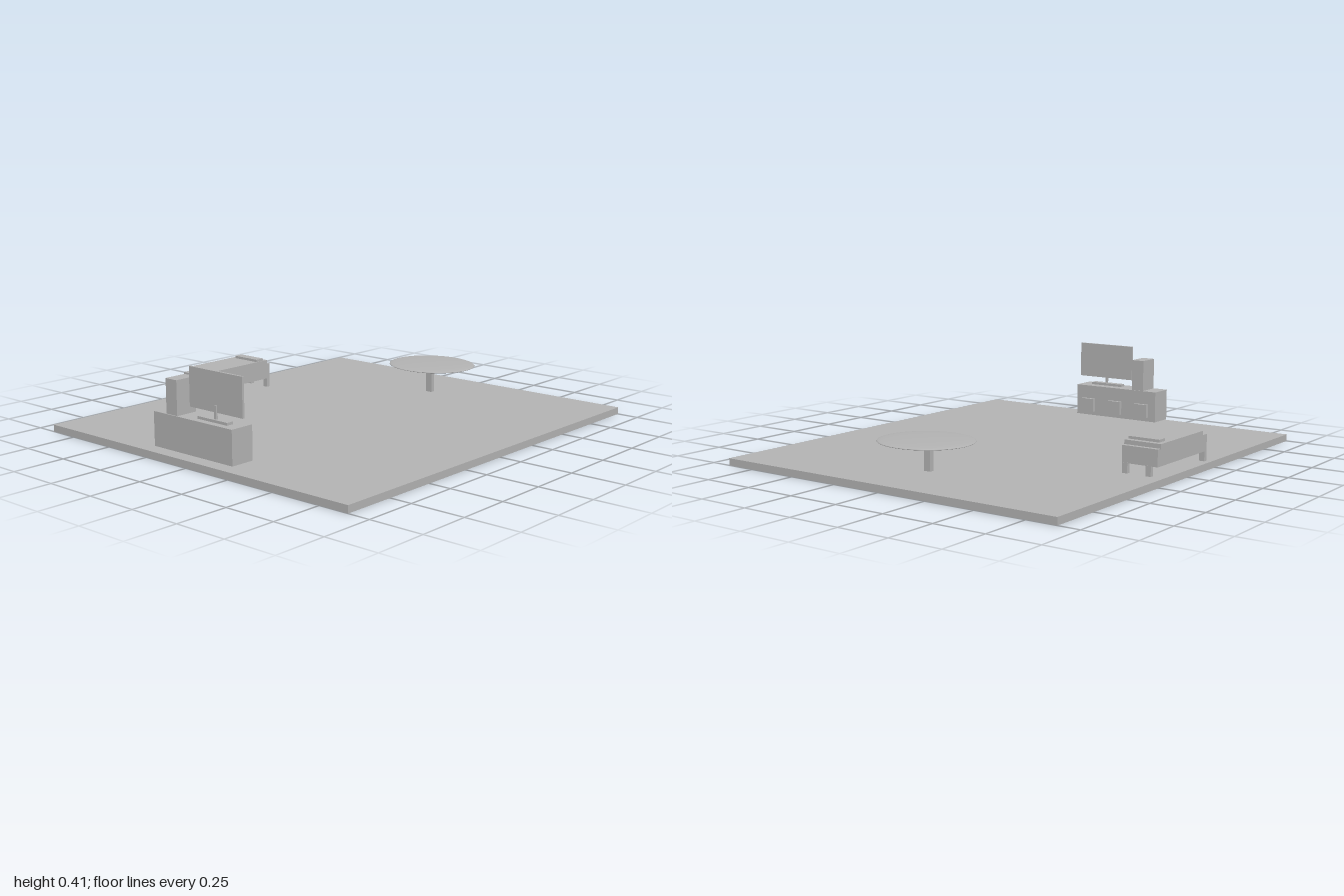
import * as THREE from 'three';

export function createModel() {
  const model = new THREE.Group();
  const grey = new THREE.MeshStandardMaterial({ color: 0xb2b2b2 });
  grey.name = 'plain grey';

  const group = (name) => {
    const g = new THREE.Group();
    g.name = name;
    model.add(g);
    return g;
  };
  // Box given by its extents on each axis
  const box = (parent, name, [x0, x1], [y0, y1], [z0, z1]) => {
    const mesh = new THREE.Mesh(new THREE.BoxGeometry(x1 - x0, y1 - y0, z1 - z0), grey);
    mesh.position.set((x0 + x1) / 2, (y0 + y1) / 2, (z0 + z1) / 2);
    mesh.name = name;
    parent.add(mesh);
  };

  // Floor slab
  box(model, 'floor', [-1, 1], [0, 0.033], [-0.896, 0.896]);

  // Media cabinet with three drawers
  const cabinet = group('mediaCabinet');
  box(cabinet, 'cabinetBody', [-0.96, -0.843], [0.045, 0.2], [-0.238, 0.238]);
  for (const z of [-0.16, 0, 0.163])
    box(cabinet, 'drawerFront', [-0.845, -0.825], [0.065, 0.133], [z - 0.036, z + 0.036]);
  box(cabinet, 'speaker', [-0.955, -0.848], [0.2, 0.355], [-0.162, -0.095]);

  // Television: foot, neck behind the panel, and panel
  const tv = group('television');
  box(tv, 'tvFoot', [-0.928, -0.894], [0.2, 0.212], [0, 0.178]);
  box(tv, 'tvNeck', [-0.92, -0.911], [0.21, 0.272], [0.094, 0.106]);
  box(tv, 'tvPanel', [-0.914, -0.903], [0.24, 0.415], [-0.06, 0.255]);

  // Bed
  const bed = group('bed');
  box(bed, 'bedFrame', [-0.218, 0.215], [0.078, 0.155], [-0.868, -0.692]);
  box(bed, 'mattress', [-0.178, 0.194], [0.15, 0.175], [-0.87, -0.69]);
  box(bed, 'pillow', [0.122, 0.168], [0.17, 0.187], [-0.848, -0.694]);
  for (const [x, z] of [[-0.208, -0.855], [-0.208, -0.707], [0.206, -0.823], [0.206, -0.707]])
    box(bed, 'bedLeg', [x - 0.01, x + 0.01], [0.033, 0.08], [z - 0.013, z + 0.013]);

  // Table: thin lens-shaped oval top on a single post
  const table = group('table');
  const top = new THREE.Mesh(new THREE.SphereGeometry(1, 48, 24), grey);
  top.scale.set(0.202, 0.012, 0.222);
  top.position.set(0.69, 0.17, -0.004);
  top.name = 'tableTop';
  table.add(top);
  box(table, 'tablePost', [0.661, 0.684], [0.033, 0.168], [-0.017, 0.017]);

  return model;
}
